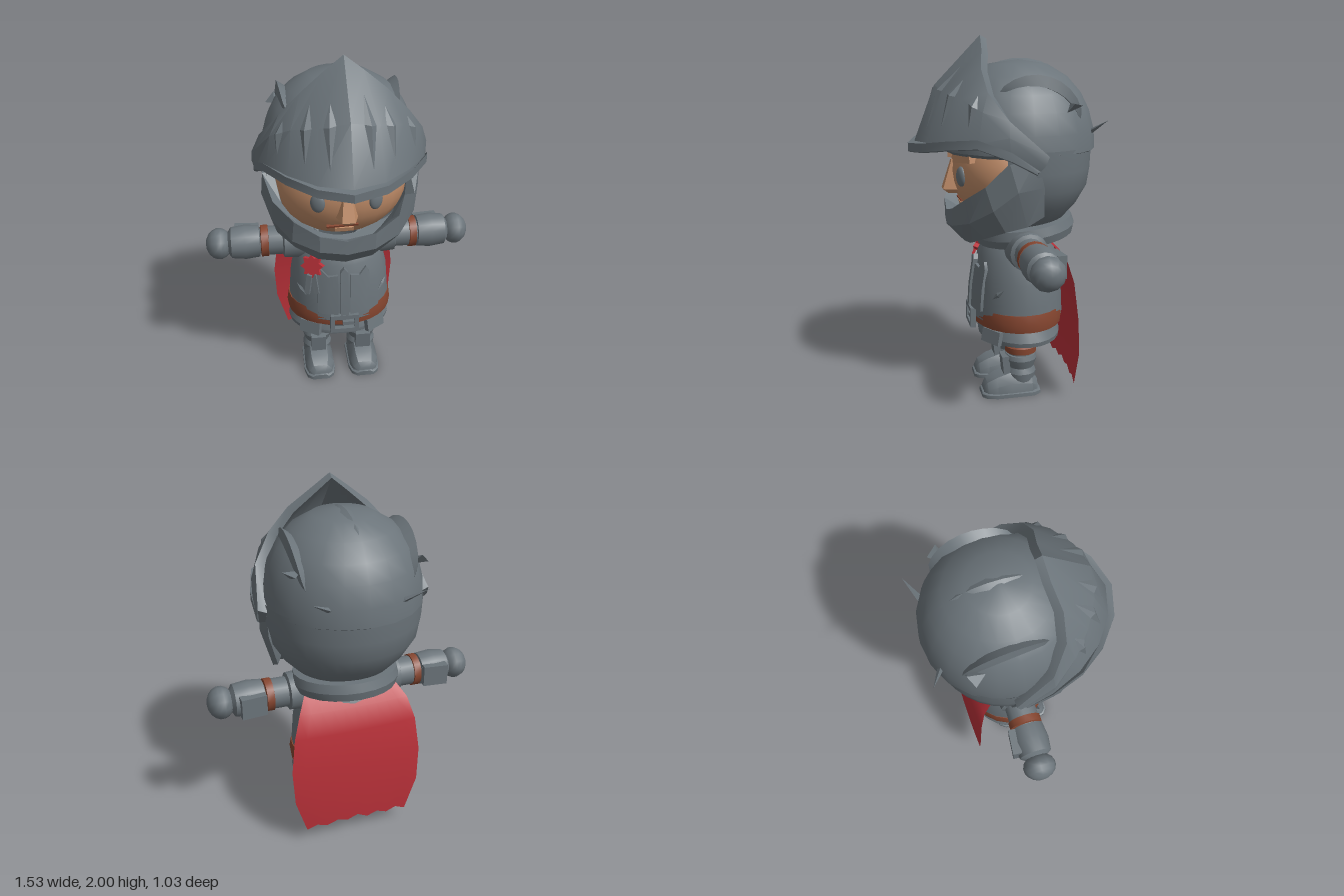
import * as THREE from 'three';
import { toCreasedNormals } from 'three/addons/utils/BufferGeometryUtils.js';

const mat = (name, color, side = THREE.FrontSide) => {
  const m = new THREE.MeshStandardMaterial({ color, side });
  m.name = name;
  return m;
};
const V = (x, y, z) => new THREE.Vector3(x, y, z);

// Skin a row of equal-length cross-sections; closed sections get end caps.
function loft(sections, closed = true, crease = 0.5) {
  const n = sections[0].length, index = [], last = sections.length - 1;
  for (let i = 0; i < last; i++) {
    for (let j = 0; j < (closed ? n : n - 1); j++) {
      const k = (j + 1) % n, a = i * n + j, b = a + n, c = (i + 1) * n + k, d = i * n + k;
      index.push(a, b, c, a, c, d);
    }
  }
  if (closed) for (let j = 1; j < n - 1; j++) {
    index.push(0, j, j + 1, last * n, last * n + j + 1, last * n + j);
  }
  const g = new THREE.BufferGeometry().setFromPoints(sections.flat());
  g.setIndex(index);
  return toCreasedNormals(g, crease);
}

// Turned profile of [radius, y] pairs, with an optional front opening.
function turned(profile, sx = 1, sz = 1, seg = 24, gap = 0) {
  const pts = profile.map(([r, y]) => new THREE.Vector2(r, y));
  const g = new THREE.LatheGeometry(pts, seg, gap, Math.PI * 2 - 2 * gap).scale(sx, 1, sz);
  return toCreasedNormals(g, 0.5);
}

// Mirror half a row of stations (first one lies on x = 0).
const mirrored = (half) => [
  ...half.slice(1).reverse().map((s) => s.map((p) => V(-p.x, p.y, p.z))), ...half];

export function createModel() {
  const model = new THREE.Group();
  const steel = mat('steel', 0x6b747a, THREE.DoubleSide);
  const skin = mat('skin', 0xc08c68);
  const red = mat('red cloth', 0xb93139, THREE.DoubleSide);
  const leather = mat('leather', 0x864630);
  const add = (name, geo, m, pos = [0, 0, 0], rot = [0, 0, 0], scale = [1, 1, 1], parent = model) => {
    const mesh = new THREE.Mesh(geo, m);
    mesh.name = name;
    mesh.position.set(...pos);
    mesh.rotation.set(...rot);
    mesh.scale.set(...scale);
    parent.add(mesh);
    return mesh;
  };
  const ball = new THREE.SphereGeometry(1, 24, 16);

  // Head and face
  add('head', ball, skin, [0, 1.28, -0.02], [0, 0, 0], [0.365, 0.3, 0.3]);
  add('nose', loft([
    [V(-0.03, 1.34, 0.24), V(0.03, 1.34, 0.24), V(0.02, 1.34, 0.28), V(-0.02, 1.34, 0.28)],
    [V(-0.07, 1.18, 0.22), V(0.07, 1.18, 0.22), V(0.035, 1.18, 0.33), V(-0.035, 1.18, 0.33)],
    [V(-0.05, 1.155, 0.22), V(0.05, 1.155, 0.22), V(0.02, 1.155, 0.3), V(-0.02, 1.155, 0.3)],
  ].reverse()), skin);
  for (const s of [-1, 1]) {
    add('eye', ball, steel, [s * 0.153, 1.267, 0.248], [0, s * 0.4, 0], [0.04, 0.054, 0.02]);
    add('brow', new THREE.BoxGeometry(0.17, 0.045, 0.06), skin, [s * 0.165, 1.365, 0.225], [0, s * 0.4, s * 0.08]);
  }
  add('mouth', new THREE.BoxGeometry(0.17, 0.012, 0.03), leather, [-0.02, 1.12, 0.222], [0.3, 0, 0.05]);
  add('lowerLip', new THREE.BoxGeometry(0.1, 0.025, 0.05), skin, [-0.01, 1.1, 0.208], [0.3, 0, 0]);

  // Helmet bowl and neck guard
  add('helmetDome', turned([[0.39, 1.38], [0.425, 1.4], [0.42, 1.5], [0.39, 1.61], [0.345, 1.7], [0.27, 1.785],
    [0.16, 1.85], [0, 1.875]], 1, 1, 20), steel, [0, 0, -0.09]);
  add('helmetBack', turned([[0.2, 0.98], [0.26, 1.02], [0.33, 1.1], [0.385, 1.2], [0.4, 1.3], [0.405, 1.42]],
    1.06, 1, 20, 1.22), steel, [0, 0, -0.09]);

  // Raised ridges over the bowl
  const ridge = (x, w, h, lean, a0, a1) => {
    const s = Math.sqrt(1 - (x / 0.42) ** 2), secs = [];
    for (let i = 0; i <= 10; i++) {
      const t = i / 10, a = a0 + (a1 - a0) * t, f = Math.sin(Math.PI * t) ** 0.6;
      const at = (px, k) => V(px, 1.43 + 0.44 * s * k * Math.cos(a), -0.09 + 0.42 * s * k * Math.sin(a));
      secs.push([at(x - w * f, 0.96), at(x + lean * f, 0.97 + h * f), at(x + w * f, 0.96)]);
    }
    return loft(secs, true, 0.4);
  };
  add('centreRidge', ridge(0, 0.07, 0.06, 0, 0.6, -1.2), steel);
  for (const s of [-1, 1]) add('sideRidge', ridge(s * 0.28, 0.05, 0.17, s * 0.04, 0.6, -1.15), steel);

  // Dents in the bowl
  for (const s of [-1, 1]) {
    add('sideDent', new THREE.TetrahedronGeometry(0.06), steel, [s * 0.33, 1.64, -0.31], [0.4, s * 0.8, 0], [1, 0.5, 1]);
    add('rearDent', new THREE.OctahedronGeometry(0.13), steel, [s * 0.2, 1.5, -0.455], [0, s * 0.5, s * 0.5], [1, 0.1, 0.12]);
  }

  // Visor: bottom, middle and top point of each station, centre to side
  const visor = [
    [[0, 1.385, 0.5], [0, 1.74, 0.365], [0, 2.0, 0.115]],
    [[0.17, 1.4, 0.45], [0.15, 1.71, 0.335], [0.1, 1.925, 0.125]],
    [[0.31, 1.425, 0.34], [0.28, 1.68, 0.26], [0.22, 1.83, 0.15]],
    [[0.41, 1.44, 0.2], [0.38, 1.62, 0.17], [0.33, 1.715, 0.135]],
    [[0.455, 1.38, 0.04], [0.455, 1.5, 0.05], [0.43, 1.58, 0.045]],
    [[0.455, 1.31, -0.09], [0.475, 1.36, -0.13], [0.472, 1.405, -0.15]],
  ].map((s) => s.map((p) => V(...p)));
  const inner = (p, dy = 0) => V(p.x * 0.9, p.y - dy, p.z - (p.z + 0.15) * 0.13);
  const out = (p, dy) => V(p.x * 1.025, p.y + dy, p.z * 1.025);
  add('visor', loft(mirrored(visor.map(([b, m, t], i) => {
    const rim = i < 5 ? 0.05 : 0.015;
    return [b.clone(), out(b, 0.005), out(b, rim), b.clone().lerp(m, i < 5 ? 0.17 : 0.4), m, t,
      inner(t, 0.02), inner(m), inner(b)];
  }))), steel);

  // Faceted slits following the visor surface
  const surf = (u, v) => {
    const i = Math.min(4, Math.floor(u)), [b, m, t] = [0, 1, 2].map((k) => visor[i][k].clone().lerp(visor[i + 1][k], u - i));
    return v < 0.5 ? b.lerp(m, v * 2) : m.lerp(t, v * 2 - 1);
  };
  for (const [u, v0, v1] of [[0.65, 0.2, 0.75], [1.45, 0.22, 0.75], [2.55, 0.26, 0.72]]) {
    const c = (p, k) => V(p.x * k, p.y, p.z * k);
    const mid = c(surf(u, 0.5), 1.05);
    const slit = [v0, 0.5, v1].map((v) => {
      const w = v === 0.5 ? 0.2 : 0.01, peak = v === 0.5 ? mid : c(surf(u, v), 1.005);
      return [c(surf(u - w, v), 1.004), peak, c(surf(u + w, v), 1.004)];
    });
    for (const s of [-1, 1]) {
      const side = slit.map((r) => r.map((p) => V(p.x * s, p.y, p.z)));
      add('visorSlit', loft(s > 0 ? side.reverse() : side, false, 0.05), steel);
    }
  }

  // Chin guard: inner lip, rim, front edge, lower edge and underside
  add('chinGuard', loft(mirrored([
    [[0, 0.93, 0.1], [0, 0.875, 0.21], [0, 0.98, 0.31], [0, 1.06, 0.31], [0, 1.045, 0.26]],
    [[0.14, 0.94, 0.09], [0.15, 0.9, 0.2], [0.15, 1.0, 0.3], [0.15, 1.095, 0.3], [0.14, 1.065, 0.25]],
    [[0.22, 0.99, 0.05], [0.27, 0.95, 0.14], [0.29, 1.04, 0.23], [0.28, 1.165, 0.25], [0.25, 1.12, 0.2]],
    [[0.3, 1.06, 0.0], [0.36, 1.0, 0.05], [0.39, 1.12, 0.12], [0.38, 1.245, 0.16], [0.335, 1.22, 0.12]],
    [[0.34, 1.12, -0.1], [0.385, 1.03, -0.06], [0.435, 1.22, 0.0], [0.425, 1.36, 0.04], [0.365, 1.36, 0.03]],
    [[0.34, 1.2, -0.16], [0.38, 1.08, -0.15], [0.42, 1.24, -0.14], [0.42, 1.4, -0.1], [0.36, 1.4, -0.1]],
  ].map((s) => s.map((p) => V(...p))), ), true, 0.3), steel);

  // Torso, neck ring, belt and skirt
  const body = [[0.25, 0.38], [0.3, 0.45], [0.295, 0.55], [0.285, 0.68], [0.257, 0.8], [0.22, 0.88], [0.15, 0.95]];
  add('breastplate', turned(body, 1, 0.87), steel, [0, 0, -0.09]);
  add('neckRing', turned([[0.2, -0.05], [0.27, -0.055], [0.285, -0.01], [0.275, 0.04], [0.2, 0.05]], 1.05, 1),
    steel, [0, 0.95, -0.13], [0.14, 0, 0]);
  add('belt', turned([[0.28, 0.41], [0.305, 0.412], [0.312, 0.46], [0.303, 0.51], [0.28, 0.51]], 1, 0.83),
    leather, [0, 0, -0.09]);
  add('skirt', turned([[0, 0.34], [0.25, 0.32], [0.3, 0.325], [0.305, 0.35], [0.275, 0.42], [0.22, 0.43]], 1, 0.77),
    steel, [0, 0, -0.1]);
  for (const s of [-1, 1]) add('skirtPlate', new THREE.BoxGeometry(0.13, 0.075, 0.03), steel,
    [s * 0.19, 0.365, 0.09], [-0.25, s * 0.6, s * 0.12]);

  // Square buckle with a tongue
  for (const s of [-1, 1]) {
    add('buckleSide', new THREE.BoxGeometry(0.025, 0.11, 0.03), steel, [s * 0.07, 0.44, 0.178]);
    add('buckleBar', new THREE.BoxGeometry(0.165, 0.024, 0.03), steel, [0, 0.44 + s * 0.045, 0.178]);
  }
  add('buckleTongue', new THREE.BoxGeometry(0.08, 0.022, 0.025), steel, [0.03, 0.44, 0.178]);

  // Raised chest panels following the body
  const bodyZ = (x, y) => {
    const i = body.findIndex((p) => p[1] > y), [r0, y0] = body[i - 1], [r1, y1] = body[i];
    const r = r0 + (r1 - r0) * (y - y0) / (y1 - y0);
    return -0.09 + 0.87 * Math.sqrt(r * r - x * x);
  };
  const panel = (name, cols, lift) => add(name, loft(cols.map(([x, top]) => {
    const ys = [0.5, 0.62, top], row = (l) => ys.map((y) => V(x, y, bodyZ(x, y) + l));
    return [...row(lift), ...row(-0.01).reverse()];
  })), steel);
  panel('chestPanelLeft', [[0.035, 0.75], [0.09, 0.74], [0.13, 0.78], [0.15, 0.74]], 0.016);
  panel('chestPanelRight', [[-0.15, 0.74], [-0.13, 0.78], [-0.09, 0.74], [-0.035, 0.75]], 0.016);
  panel('chestKeel', [[-0.022, 0.77], [0, 0.795], [0.022, 0.77]], 0.026);
  for (const s of [-1, 1]) add('chestDent', new THREE.OctahedronGeometry(0.05), steel,
    [s * 0.235, 0.62, 0.065], [0, s * 0.8, s * 0.7], [1, 0.3, 0.2]);

  // Star badge with ribbon tails
  const star = new THREE.Shape(Array.from({ length: 16 }, (_, i) => {
    const a = i * Math.PI / 8, r = i % 2 ? 0.047 : 0.07;
    return new THREE.Vector2(r * Math.cos(a), r * Math.sin(a));
  }));
  add('badge', new THREE.ExtrudeGeometry(star, { depth: 0.03, bevelEnabled: false }), red, [-0.165, 0.79, 0.085], [-0.3, -0.5, 0]);
  for (const s of [-1, 1]) add('badgeTail', new THREE.BoxGeometry(0.03, 0.12, 0.02), steel,
    [-0.18 + s * 0.02, 0.69, 0.125], [-0.1, -0.5, s * 0.15]);

  // Arms, each built along its own y axis
  for (const s of [-1, 1]) {
    const arm = new THREE.Group();
    arm.name = s > 0 ? 'leftArm' : 'rightArm';
    arm.position.set(0, 0.87, -0.09);
    arm.rotation.z = -s * Math.PI / 2;
    model.add(arm);
    const part = (name, prof, m) => add(name, turned(prof, 1, 1, 16), m, undefined, undefined, undefined, arm);
    part('upperArm', [[0.085, 0.12], [0.085, 0.41], [0.075, 0.46]], steel);
    part('shoulderGuard', [[0.08, 0.2], [0.115, 0.2], [0.105, 0.32], [0.08, 0.33]], steel);
    part('armStrap', [[0.07, 0.405], [0.092, 0.41], [0.092, 0.45], [0.07, 0.455]], leather);
    part('forearm', [[0.06, 0.455], [0.092, 0.46], [0.1, 0.54], [0.09, 0.62], [0.06, 0.64]], steel);
    add('hand', new THREE.SphereGeometry(1, 12, 9), steel, [0, 0.69, 0], [0, 0, 0], [0.09, 0.075, 0.092], arm);
    add('elbowGuard', new THREE.BoxGeometry(0.12, 0.14, 0.05), steel, [0, 0.53, -0.09], [-0.1, 0, 0], undefined, arm);
  }

  // Legs and boots
  const shoe = (rows) => loft(rows.map(([z, w, h]) => [[-1, 0], [1, 0], [1, 0.6], [0.6, 1], [-0.6, 1], [-1, 0.6]]
    .map(([x, y]) => V(x * w, y * h, z))), true, 0.7);
  for (const s of [-1, 1]) {
    const leg = new THREE.Group();
    leg.name = s > 0 ? 'leftLeg' : 'rightLeg';
    leg.position.x = s * 0.137;
    model.add(leg);
    const part = (name, prof, m) => add(name, turned(prof, 1, 1, 16), m, [0, 0, -0.085], undefined, undefined, leg);
    part('thigh', [[0.075, 0.2], [0.075, 0.38]], steel);
    part('legStrap', [[0.07, 0.245], [0.09, 0.25], [0.092, 0.285], [0.07, 0.3]], leather);
    part('bootShaft', [[0.08, 0.08], [0.088, 0.13], [0.075, 0.16], [0.092, 0.21], [0.085, 0.235], [0.06, 0.24]], steel);
    add('shinPlate', new THREE.BoxGeometry(0.09, 0.11, 0.04), steel, [0, 0.175, 0.005], [0.1, 0, 0], undefined, leg);
    add('shoe', shoe([[-0.175, 0.055, 0.08], [-0.14, 0.08, 0.12], [-0.02, 0.085, 0.135], [0.06, 0.085, 0.11],
      [0.115, 0.07, 0.08], [0.135, 0.045, 0.05]]), steel, undefined, undefined, undefined, leg);
    add('sole', shoe([[-0.19, 0.06, 0.03], [-0.15, 0.09, 0.035], [0.06, 0.094, 0.035], [0.12, 0.08, 0.035],
      [0.145, 0.05, 0.03]]), steel, undefined, undefined, undefined, leg);
  }

  // Cape: rows of [y, z, half width], with a ragged hem
  const rows = [[0.92, -0.22, 0.25], [0.83, -0.31, 0.31], [0.7, -0.345, 0.35], [0.5, -0.365, 0.375],
    [0.3, -0.378, 0.365], [0.09, -0.372, 0.3]];
  const hem = [0, 0.03, 0.01, 0.035, 0.015, 0.045, 0.02, 0.035, 0.01, 0.025, 0];
  add('cape', loft(hem.map((h, i) => {
    const u = i / 5 - 1;
    return rows.map(([y, z, w], j) => V(u * w, y + (j === 5 ? h : 0), z + 0.015 * u * u)).reverse();
  }), false, 1), red);
  return model;
}
